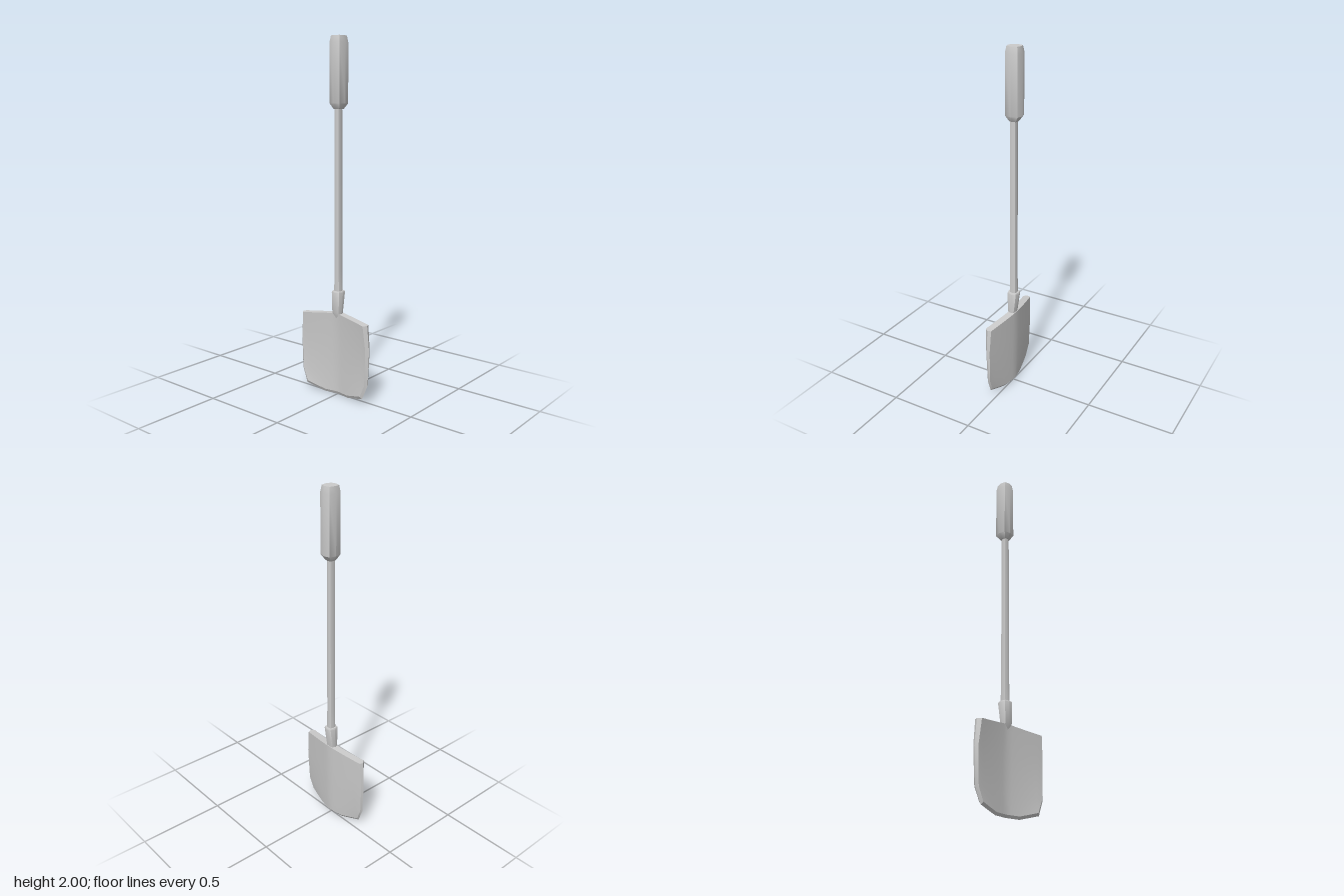
import * as THREE from 'three';
import { toCreasedNormals } from 'three/addons/utils/BufferGeometryUtils.js';

const material = new THREE.MeshStandardMaterial({ color: 0xcccccc });

// Skins closed rings (bottom to top, each running +x, +z, -x, -z) and caps both ends.
function loft(name, rings, crease) {
  const n = rings[0].length;
  const index = [];
  const id = (r, i) => r * n + (i % n);
  for (let r = 0; r < rings.length - 1; r++) {
    for (let i = 0; i < n; i++) {
      const a = id(r, i), b = id(r, i + 1), c = id(r + 1, i + 1), d = id(r + 1, i);
      index.push(a, c, b, a, d, c);
    }
  }
  // caps join each front point to the back point behind it
  const top = rings.length - 1;
  for (let i = 0; i < n / 2; i++) {
    for (const [r, up] of [[0, false], [top, true]]) {
      const a = id(r, i), b = id(r, n - i), c = id(r, n - i - 1), d = id(r, i + 1);
      if (a !== b) index.push(...(up ? [a, b, c] : [a, c, b]));
      if (c !== d) index.push(...(up ? [a, c, d] : [a, d, c]));
    }
  }
  const geometry = new THREE.BufferGeometry();
  geometry.setAttribute('position', new THREE.Float32BufferAttribute(rings.flat(2), 3));
  geometry.setIndex(index);
  const mesh = new THREE.Mesh(toCreasedNormals(geometry, crease), material);
  mesh.name = name;
  return mesh;
}

// Eight-point rounded square ring
function ring(y, rx, rz, cz) {
  return Array.from({ length: 8 }, (_, i) => {
    const a = (i * Math.PI) / 4;
    const k = i % 2 ? 1.12 : 1;
    return [Math.cos(a) * rx * k, y, cz + Math.sin(a) * rz * k];
  });
}

// One level of the blade: curved front, pointed side edge, curved back
function bladeRing({ yMid, ySide, face, tip, front, back, flat = 0 }) {
  const columns = [1, 0.85, 0.7, 0.56, 0.42, 0.28, 0.14, 0];
  const across = [...columns, ...columns.slice(0, -1).reverse().map((f) => -f)];
  const sweep = (f) => 0.037 * Math.pow(Math.abs(f), 1.2);
  const height = (f) => yMid + (ySide - yMid) * Math.max(0, (Math.abs(f) - flat) / (1 - flat));
  const side = (s) => [s * tip, ySide, (front + back) / 2 + sweep(1)];
  const backFace = Math.min(face + 0.009, tip);
  return [
    side(1),
    ...across.map((f) => [f * face, height(f), front + sweep(f)]),
    side(-1),
    ...across.map((f) => [-f * backFace, height(f), back + sweep(f)]),
  ];
}

export function createModel() {
  const group = new THREE.Group();
  group.name = 'shovel';

  // Grip with bevelled ends
  group.add(loft('grip', [
    ring(1.615, 0.024, 0.024, -0.006),
    ring(1.645, 0.044, 0.046, -0.008),
    ring(1.965, 0.044, 0.046, -0.008),
    ring(2.0, 0.037, 0.039, -0.008),
  ], 0.62));

  // Long shaft, slightly thicker at the foot
  group.add(loft('shaft', [
    ring(0.58, 0.022, 0.022, -0.004),
    ring(0.72, 0.019, 0.02, -0.004),
    ring(1.63, 0.018, 0.019, -0.004),
  ], 0.62));

  // Socket between shaft and blade
  group.add(loft('socket', [
    ring(0.45, 0.027, 0.016, -0.003),
    ring(0.49, 0.029, 0.024, 0.003),
    ring(0.605, 0.033, 0.034, -0.004),
    ring(0.612, 0.03, 0.031, -0.004),
  ], 0.62));

  // Dished blade with a bevelled rim
  group.add(loft('blade', [
    { yMid: 0.005, ySide: 0.036, face: 0.2, tip: 0.2, front: 0.0, back: 0.0, flat: 0.42 },
    { yMid: 0.02, ySide: 0.05, face: 0.19, tip: 0.207, front: 0.007, back: -0.012, flat: 0.42 },
    { yMid: 0.12, ySide: 0.12, face: 0.22, tip: 0.235, front: 0.006, back: -0.016 },
    { yMid: 0.32, ySide: 0.32, face: 0.228, tip: 0.243, front: 0.008, back: -0.02 },
    { yMid: 0.485, ySide: 0.46, face: 0.215, tip: 0.231, front: 0.017, back: -0.024 },
  ].map(bladeRing), 0.35));

  return group;
}
